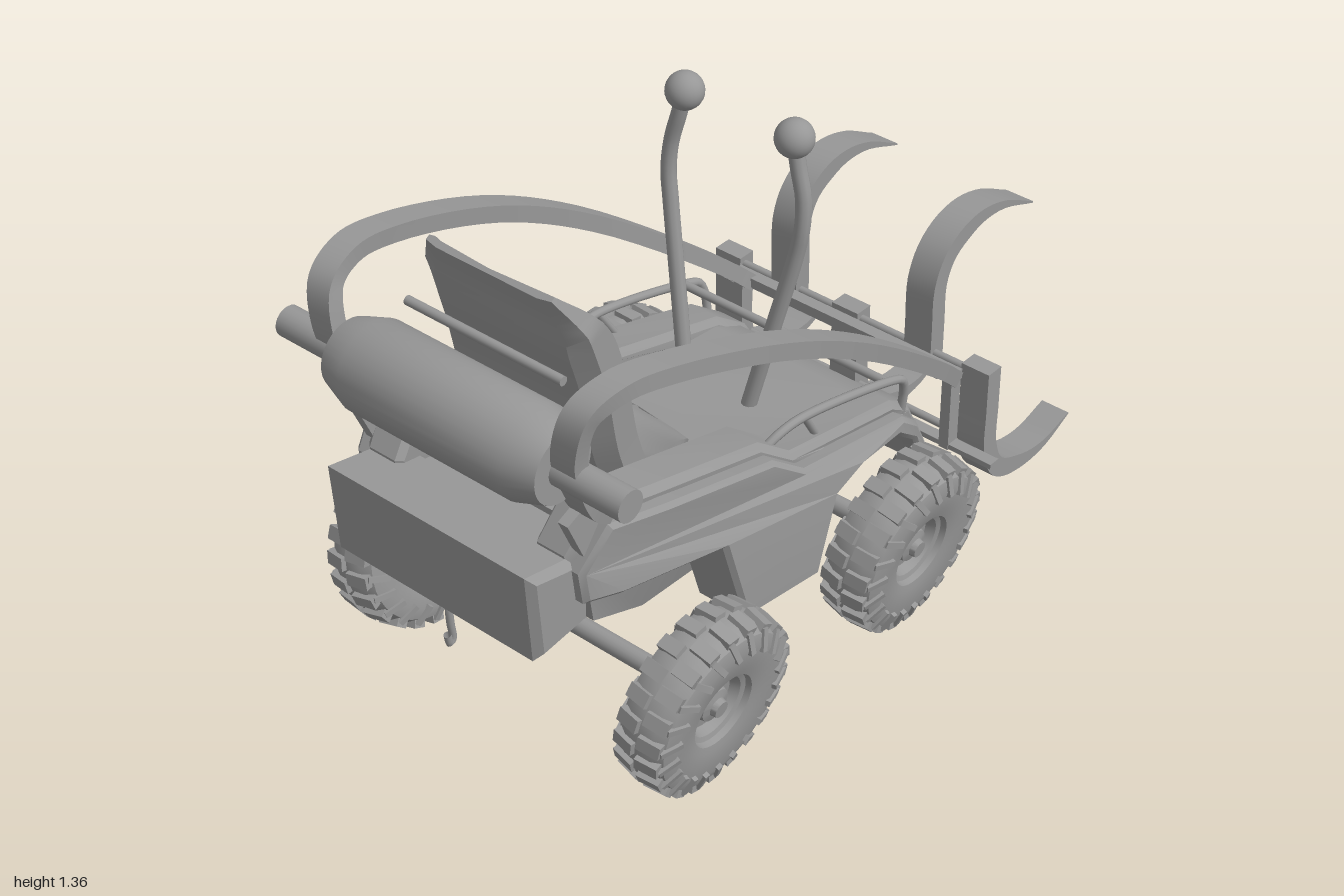
import * as THREE from 'three';
import { toCreasedNormals, mergeGeometries } from 'three/addons/utils/BufferGeometryUtils.js';

const mat = new THREE.MeshStandardMaterial({ color: 0x979797, side: THREE.DoubleSide });
const V = (p) => new THREE.Vector3(p[0], p[1], p[2] || 0);

function add(parent, name, geo, x = 0, y = 0, z = 0) {
  const mesh = new THREE.Mesh(geo, mat);
  mesh.name = name;
  mesh.position.set(x, y, z);
  parent.add(mesh);
  return mesh;
}

// Sweep a section [z offset, in-plane offset] along a path that mostly lies in the xy plane
function sweep(points, n, section) {
  const curve = new THREE.CatmullRomCurve3(points.map(V), false, 'centripetal');
  const pos = [], idx = [];
  const m = section(0).length;
  for (let i = 0; i <= n; i++) {
    const k = i / n, p = curve.getPoint(k), t = curve.getTangent(k);
    const l = Math.hypot(t.x, t.y);
    for (const [u, v] of section(k)) pos.push(p.x - (t.y / l) * v, p.y + (t.x / l) * v, p.z + u);
    if (i < n) for (let j = 0; j < m; j++) {
      const a = i * m + j, b = i * m + (j + 1) % m;
      idx.push(a, a + m, b, b, a + m, b + m);
    }
  }
  for (const ring of [0, n]) {
    const c = pos.length / 3, sum = [0, 0, 0];
    for (let j = 0; j < m; j++) for (let d = 0; d < 3; d++) sum[d] += pos[(ring * m + j) * 3 + d] / m;
    pos.push(...sum);
    for (let j = 0; j < m; j++) {
      const a = ring * m + j, b = ring * m + (j + 1) % m;
      idx.push(c, ring ? b : a, ring ? a : b);
    }
  }
  const g = new THREE.BufferGeometry();
  g.setAttribute('position', new THREE.Float32BufferAttribute(pos, 3));
  g.setIndex(idx);
  return toCreasedNormals(g, 0.6);
}

const rect = (w, h) => [[-w, -h], [w, -h], [w, h], [-w, h]];
const tube = (pts, r, n = 24) =>
  new THREE.TubeGeometry(new THREE.CatmullRomCurve3(pts.map(V), false, 'centripetal'), n, r, 10);
const rodZ = (r, len, seg = 16) => new THREE.CylinderGeometry(r, r, len, seg).rotateX(Math.PI / 2);

// Side profile extruded along z with a chamfer
function slab(points, width, bevel) {
  const shape = new THREE.Shape(points.map((p) => new THREE.Vector2(...p)));
  const g = new THREE.ExtrudeGeometry(shape, {
    depth: width - 2 * bevel, bevelEnabled: bevel > 0, bevelThickness: bevel,
    bevelSize: bevel, bevelOffset: -bevel, bevelSegments: 1,
  });
  return g.translate(0, 0, bevel - width / 2);
}

function reshape(g, rule) {
  const p = g.attributes.position, v = new THREE.Vector3();
  for (let i = 0; i < p.count; i++) {
    rule(v.fromBufferAttribute(p, i));
    p.setXYZ(i, v.x, v.y, v.z);
  }
  return toCreasedNormals(g, 0.5);
}

// Knobbly tyre with a dished rim; local +y points outboard
function wheelGeometry() {
  const profile = [[0, -0.03], [0.09, -0.03], [0.1, -0.06], [0.12, -0.07], [0.185, -0.078], [0.216, -0.068],
    [0.232, -0.04], [0.236, 0], [0.232, 0.04], [0.216, 0.068], [0.185, 0.078], [0.12, 0.07], [0.102, 0.066],
    [0.098, 0.05], [0.085, 0.045], [0.075, 0.02], [0.05, 0.02], [0.045, 0.04], [0.025, 0.045], [0.022, 0.06], [0, 0.06]];
  const parts = [toCreasedNormals(new THREE.LatheGeometry(profile.map((p) => new THREE.Vector2(...p)), 40), 0.6)];
  const lugs = 22;
  for (let i = 0; i < lugs * 2; i++) {
    const side = i % 2 ? 1 : -1, angle = (i / lugs) * Math.PI;
    const tread = new THREE.BoxGeometry(0.022, 0.062, 0.036).rotateZ(side * 0.15).translate(0.233, side * 0.035, 0);
    const shoulder = new THREE.BoxGeometry(0.06, 0.012, 0.016).rotateZ(-side * 0.3)
      .rotateY(0.3).translate(0.202, side * 0.074, 0);
    for (const g of [tread, shoulder]) parts.push(g.rotateY(angle).toNonIndexed());
  }
  return mergeGeometries(parts);
}

export function createModel() {
  const model = new THREE.Group();
  model.name = 'grabberBuggy';

  // Side pods with wheel arches: a tall inner shell and a lower outer panel, narrowing to both ends
  const pod = [[-0.86, 0.64], [-0.87, 0.76], [-0.79, 0.865], [-0.62, 0.835], [-0.25, 0.74], [-0.13, 0.645],
    [0.3, 0.54], [0.4, 0.47], [0.46, 0.37], [0.485, 0.27], [0.43, 0.27], [0.37, 0.39], [0.27, 0.47],
    [0.1, 0.49], [0.0, 0.46], [-0.07, 0.25], [-0.35, 0.29], [-0.43, 0.555], [-0.76, 0.62]];
  const panel = pod.map(([x, y], i) => (i < 1 || i > 8 ? [x, y] : [x - (i > 6 ? 0.015 : 0), y - 0.03]));
  const narrow = (v) => {
    v.z *= v.x > 0 ? 1 - 0.75 * v.x * v.x : v.x < -0.5 ? 1 - 0.9 * (v.x + 0.5) ** 2 : 1;
  };
  for (const s of [1, -1]) {
    add(model, 'sidePod', reshape(slab(pod, 0.13, 0.018).translate(0, 0, s * 0.305), narrow));
    add(model, 'outerPanel', reshape(slab(panel, 0.1, 0.012).translate(0, 0, s * 0.36), narrow));
  }

  // Central tub and sloping bonnet, tapered towards the belly
  const tub = [[-0.85, 0.73], [-0.85, 0.64], [-0.77, 0.61], [-0.72, 0.44], [-0.45, 0.26], [-0.05, 0.22],
    [0.25, 0.21], [0.43, 0.275], [0.465, 0.3], [0.44, 0.4], [0.38, 0.475], [0.28, 0.525], [-0.1, 0.56], [-0.3, 0.64]];
  add(model, 'tub', reshape(slab(tub, 0.56, 0), (v) => {
    v.z *= THREE.MathUtils.mapLinear(Math.min(v.y, 0.5), 0.21, 0.5, 0.48, 1);
  }));
  add(model, 'bonnetLip', new THREE.BoxGeometry(0.03, 0.015, 0.62), 0.465, 0.28);

  // Rear locker with a coupling hook
  const locker = [[-1, 0.78], [-0.985, 0.53], [-0.81, 0.55], [-0.8, 0.74], [-0.88, 0.755]];
  add(model, 'rearLocker', toCreasedNormals(slab(locker, 0.66, 0.02), 0.5));
  add(model, 'couplingHook', tube([[-0.7, 0.475], [-0.85, 0.495], [-0.93, 0.505], [-0.94, 0.49], [-0.94, 0.44],
    [-0.936, 0.39], [-0.945, 0.38], [-0.952, 0.41]], 0.01, 40));

  // Bucket seat with forward wings and a rounded front lip
  const widths = [0.2, 0.24, 0.25, 0.25, 0.25, 0.255, 0.25, 0.19];
  const seatSection = (k) => {
    const f = k * 7, i = Math.min(6, Math.floor(f));
    const w = THREE.MathUtils.lerp(widths[i], widths[i + 1], f - i);
    const h = k > 0.8 ? 1 - (k - 0.8) * 4 : Math.min(1, 0.5 + k * 3);
    const front = [-1, -0.9, -0.7, -0.4, 0, 0.4, 0.7, 0.9, 1].map((u) => [u * w, (-0.008 - 0.048 * u * u) * h]);
    return [...front, [w, 0.01 * h], [w * 0.8, 0.045 * h], [-w * 0.8, 0.045 * h], [-w, 0.01 * h]];
  };
  const seat = sweep([[-0.285, 0.69], [-0.34, 0.72], [-0.46, 0.725], [-0.56, 0.76], [-0.605, 0.86],
    [-0.65, 1.08], [-0.7, 1.24], [-0.755, 1.335]], 42, seatSection);
  add(model, 'seat', reshape(seat, (v) => {
    if (v.x > -0.5) v.x -= (v.x + 0.5) * 5.5 * v.z * v.z;
  }));
  add(model, 'seatBase', new THREE.BoxGeometry(0.36, 0.16, 0.42), -0.56, 0.65);

  // Wheels splay outwards at the top, on straight axles
  const wheel = wheelGeometry();
  for (const x of [-0.595, 0.175]) {
    add(model, 'axle', rodZ(0.025, 0.84), x, 0.25);
    for (const s of [1, -1]) add(model, 'wheel', wheel, x, 0.25, s * 0.476).rotation.x = s * (Math.PI / 2 + 0.13);
  }

  // Lifting arms: grooved channel bars bowed around the body
  const channel = () => [[-0.036, -0.022], [0.036, -0.022], [0.036, 0.022], [0.024, 0.022], [0.024, 0.01],
    [-0.024, 0.01], [-0.024, 0.022], [-0.036, 0.022]];
  const armPath = [[0.54, 0.49, 0.34], [0.43, 0.59, 0.362], [0.01, 0.91, 0.425], [-0.31, 1.09, 0.44],
    [-0.66, 1.215, 0.425], [-0.8, 1.235, 0.41], [-0.885, 1.2, 0.39], [-0.905, 1.1, 0.37],
    [-0.88, 1.0, 0.36], [-0.83, 0.9, 0.35], [-0.77, 0.85, 0.335]];
  for (const s of [1, -1]) {
    add(model, 'liftingArm', sweep(armPath.map(([x, y, z]) => [x, y, z * s]), 60, channel));
    add(model, 'armPost', new THREE.BoxGeometry(0.04, 0.23, 0.03), 0.54, 0.385, s * 0.35);
    add(model, 'armBracket', new THREE.BoxGeometry(0.09, 0.16, 0.03), -0.82, 0.82, s * 0.33).rotation.z = 0.4;
  }

  // Drum behind the seat on a long spindle
  const drum = [[0, -0.33], [0.09, -0.33], [0.117, -0.25], [0.117, 0.25], [0.09, 0.33], [0, 0.33]];
  const drumGeo = new THREE.LatheGeometry(drum.map((p) => new THREE.Vector2(...p)), 32).rotateX(Math.PI / 2);
  add(model, 'rearDrum', toCreasedNormals(drumGeo, 0.6), -0.885, 1.03);
  add(model, 'drumSpindle', rodZ(0.04, 1.06, 20), -0.89, 1.03);
  add(model, 'rearRod', rodZ(0.012, 0.48), -0.78, 1.16);

  // Front rack bars
  add(model, 'rackTopBar', new THREE.BoxGeometry(0.035, 0.03, 0.74), 0.54, 0.5);
  add(model, 'rackLowerBar', new THREE.BoxGeometry(0.035, 0.015, 1), 0.54, 0.28);
  for (const y of [0.285, 0.5]) add(model, 'tineRod', rodZ(0.011, 0.82), 0.585, y);

  // Grabber tines: outer and middle curl up from below, the others hook over the top
  const taper = (k) => rect(0.043, 0.027 * (k < 0.6 ? 1 : 1 - (k - 0.6) * 2.3));
  const lower = [[0.592, 0.525], [0.592, 0.4], [0.594, 0.28], [0.635, 0.19], [0.74, 0.145], [0.85, 0.14], [0.965, 0.178]];
  const upper = [[0.592, 0.46], [0.592, 0.58], [0.596, 0.71], [0.64, 0.785], [0.74, 0.83], [0.85, 0.825], [0.995, 0.765]];
  [-0.423, -0.228, -0.02, 0.22, 0.405].forEach((z, i) => {
    add(model, i % 2 ? 'upperTine' : 'lowerTine', sweep(i % 2 ? upper : lower, 28, taper), 0, 0, z);
  });

  // Control levers with ball knobs
  for (const s of [1, -1]) {
    const at = (x, y, z) => [x, y, s * z - 0.033];
    const knob = at(0.138, 1.31, 0.171);
    add(model, 'lever', tube([knob, at(0.134, 1.24, 0.187), at(0.13, 1.16, 0.208), at(0.122, 1.08, 0.212),
      at(0.115, 1.0, 0.2), at(0.085, 0.76, 0.15), at(0.055, 0.52, 0.1)], 0.021, 36));
    add(model, 'leverKnob', new THREE.SphereGeometry(0.05, 24, 16), ...knob);
  }

  // Grab rails along the front deck
  for (const s of [1, -1]) {
    add(model, 'grabRail', tube([[-0.19, 0.665, s * 0.32], [-0.14, 0.69, s * 0.33], [-0.06, 0.695, s * 0.335],
      [0.31, 0.6, s * 0.335], [0.345, 0.58, s * 0.335], [0.36, 0.54, s * 0.33], [0.36, 0.45, s * 0.32]], 0.012, 40));
    add(model, 'railStrut', tube([[-0.05, 0.69, s * 0.335], [0.02, 0.58, s * 0.325]], 0.01, 4));
  }
  add(model, 'railCrossbar', rodZ(0.012, 0.67), 0.28, 0.61);

  return model;
}
